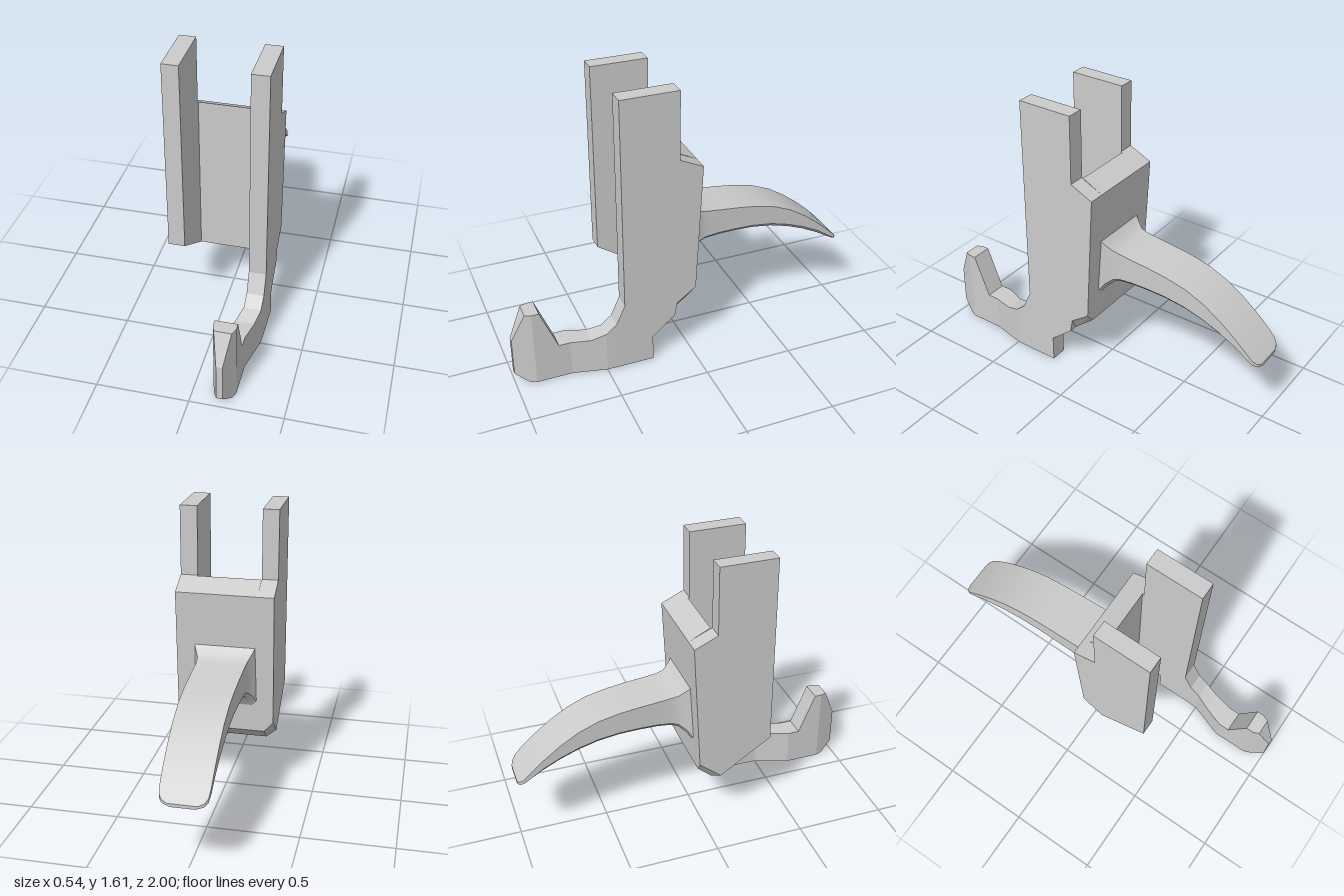
import * as THREE from 'three';
import { toCreasedNormals } from 'three/addons/utils/BufferGeometryUtils.js';

// Closed loft through cross-sections [position, [[u, v], ...]] along one axis.
// Axis 'z' takes points as (x, y); axis 'x' takes points as (z, y).
function loft(axis, sections, crease) {
  const place = axis === 'z' ? (p, s) => [s[0], s[1], p] : (p, s) => [p, s[1], s[0]];
  const rings = [...sections].sort((a, b) => a[0] - b[0]);
  const flat = rings.map(([, pts]) => pts.map(([u, v]) =>
    axis === 'z' ? new THREE.Vector2(u, v) : new THREE.Vector2(v, u)));
  const n = flat[0].length;
  const order = [...Array(n).keys()];
  if (THREE.ShapeUtils.isClockWise(flat[0])) order.reverse();
  const pos = [], idx = [];
  rings.forEach(([p, pts]) => order.forEach((i) => pos.push(...place(p, pts[i]))));
  for (let k = 0; k < rings.length - 1; k++) {
    for (let i = 0; i < n; i++) {
      const j = (i + 1) % n, a = k * n + i, b = k * n + j;
      idx.push(a, b, b + n, a, b + n, a + n);
    }
  }
  const last = rings.length - 1;
  const cap = (k) => THREE.ShapeUtils.triangulateShape(order.map((i) => flat[k][i]), []);
  cap(0).forEach(([a, b, c]) => idx.push(c, b, a));
  cap(last).forEach((f) => idx.push(...f.map((i) => i + last * n)));
  const g = new THREE.BufferGeometry();
  g.setAttribute('position', new THREE.Float32BufferAttribute(pos, 3));
  g.setIndex(idx);
  return toCreasedNormals(g, crease);
}

export function createModel() {
  const group = new THREE.Group();
  const material = new THREE.MeshStandardMaterial({ color: 0xcccccc });
  const add = (name, axis, sections, crease = 0.1) => {
    const mesh = new THREE.Mesh(loft(axis, sections, crease), material);
    mesh.name = name;
    group.add(mesh);
  };

  // Shared upper outline of both side plates, as (z, y)
  const upper = [[0.39, 1.605], [0.07, 1.605], [0.07, 1.22], [-0.06, 1.16]];

  // Back block joining the two plates
  const block = [[0.06, 1.22], [-0.06, 1.16], [-0.02, 0.36], [0.06, 0.29]];
  add('backBlock', 'x', [[-0.18, block], [0.18, block]]);

  // Right plate: slanted foot with a chamfered outer corner
  const rightInner = [...upper, [-0.02, 0.36], [0.06, 0.29], [0.39, 0.51]];
  const rightOuter = [...upper, [-0.024, 0.42], [0.1, 0.317], [0.39, 0.51]];
  add('rightPlate', 'x', [[-0.27, rightOuter], [-0.22, rightInner], [-0.18, rightInner]]);

  // Left plate: runs down into the hook
  const foot = [[0.23, 0.15], [0.39, 0.4]];
  const leftInner = [...upper, [-0.02, 0.36], [0.06, 0.293], [0.1, 0.26], ...foot];
  const leftOuter = [...upper, [-0.024, 0.42], [0.085, 0.34], [0.1, 0.26], ...foot];
  add('leftPlate', 'x', [[0.175, leftInner], [0.22, leftInner], [0.27, leftOuter]]);

  // Hook stations: z, x from, x to, y from, y to
  const hook = [
    [0.23, 0.175, 0.27, 0, 0.15], [0.39, 0.175, 0.27, 0, 0.4],
    [0.44, 0.175, 0.27, 0, 0.29], [0.5, 0.173, 0.268, 0, 0.24],
    [0.58, 0.145, 0.25, 0, 0.21], [0.69, 0.105, 0.225, 0, 0.21],
    [0.755, 0.105, 0.225, 0, 0.21], [0.85, 0.105, 0.225, 0, 0.447],
    [0.89, 0.105, 0.225, 0, 0.447], [0.925, 0.118, 0.21, 0, 0.447],
    [0.99, 0.143, 0.184, 0.05, 0.3], [1, 0.147, 0.18, 0.06, 0.28],
  ];
  add('hook', 'z', hook.map(([z, x0, x1, y0, y1]) =>
    [z, [[x0, y0], [x1, y0], [x1, y1], [x0, y1]]]));

  // Curved thumb lever: z, half width, underside y, top y
  const lever = [
    [-0.03, 0.175, 0.52, 0.88], [-0.06, 0.16, 0.565, 0.845],
    [-0.1, 0.14, 0.6, 0.81], [-0.14, 0.135, 0.615, 0.8],
    [-0.22, 0.134, 0.623, 0.79], [-0.32, 0.133, 0.624, 0.78],
    [-0.43, 0.132, 0.62, 0.765], [-0.55, 0.131, 0.603, 0.738],
    [-0.66, 0.13, 0.572, 0.692], [-0.76, 0.129, 0.533, 0.63],
    [-0.86, 0.128, 0.483, 0.553], [-0.93, 0.127, 0.441, 0.49],
    [-0.97, 0.122, 0.417, 0.45], [-0.99, 0.105, 0.405, 0.43], [-1, 0.075, 0.4, 0.418],
  ];
  add('lever', 'z', lever.map(([z, w, y0, y1]) => {
    const bevel = Math.min(0.022, (y1 - y0) * 0.3);
    return [z, [[-w * 0.85, y0], [w * 0.85, y0], [w, y0 + bevel], [w, y1], [-w, y1], [-w, y0 + bevel]]];
  }), 0.5);

  return group;
}
